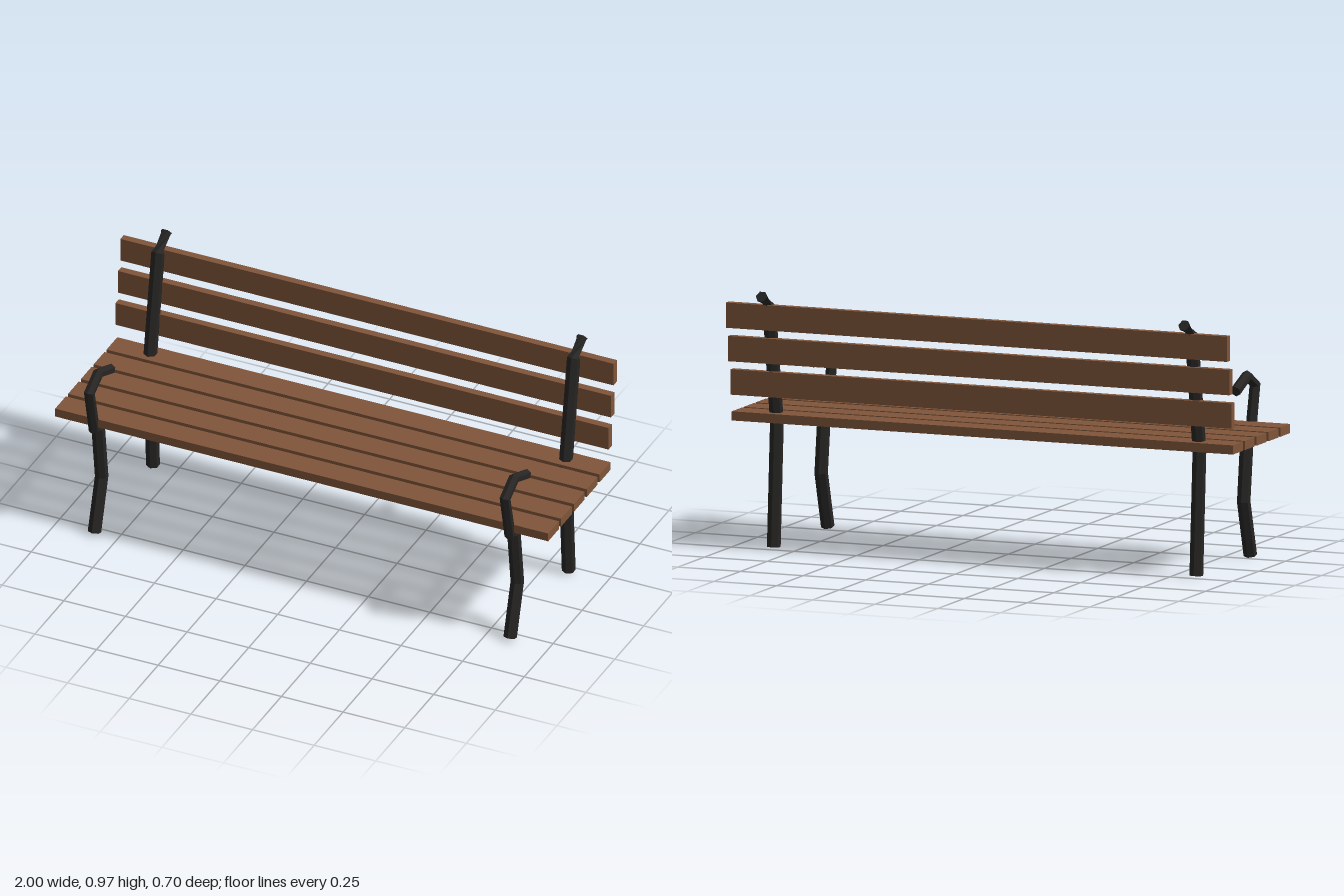
import * as THREE from 'three';

const iron = new THREE.MeshStandardMaterial({ color: 0x262524, flatShading: true });
const wood = new THREE.MeshStandardMaterial({ color: 0x80553a });

// Six-sided bar swept along [z, y] points; twist turns the last ring about the bar
function bar(name, points, radius, { endRadius = radius, twist = 0 } = {}) {
  const sides = 6;
  const pts = points.map(([z, y]) => new THREE.Vector3(0, y, z));
  const across = new THREE.Vector3(1, 0, 0);
  const pos = [];
  const index = [];
  pts.forEach((p, i) => {
    const last = i === pts.length - 1;
    const tangent = new THREE.Vector3();
    if (i > 0) tangent.add(p.clone().sub(pts[i - 1]).normalize());
    if (!last) tangent.add(pts[i + 1].clone().sub(p).normalize());
    tangent.normalize();
    const inPlane = new THREE.Vector3().crossVectors(tangent, across);
    const r = last ? endRadius : radius;
    for (let k = 0; k < sides; k++) {
      const a = (k / sides) * Math.PI * 2 + (last ? twist : 0);
      const v = p.clone()
        .addScaledVector(inPlane, r * Math.cos(a))
        .addScaledVector(across, -r * Math.sin(a));
      pos.push(v.x, v.y, v.z);
    }
    if (last) return;
    for (let k = 0; k < sides; k++) {
      const a = i * sides + k;
      const b = i * sides + (k + 1) % sides;
      index.push(a, b, b + sides, a, b + sides, a + sides);
    }
  });
  // End caps
  const top = (pts.length - 1) * sides;
  for (let k = 1; k < sides - 1; k++) {
    index.push(0, k + 1, k, top, top + k, top + k + 1);
  }
  const geo = new THREE.BufferGeometry();
  geo.setAttribute('position', new THREE.Float32BufferAttribute(pos, 3));
  geo.setIndex(index);
  geo.computeVertexNormals();
  const mesh = new THREE.Mesh(geo, iron);
  mesh.name = name;
  return mesh;
}

function slat(name, height, depth, y, z) {
  const mesh = new THREE.Mesh(new THREE.BoxGeometry(2, height, depth), wood);
  mesh.name = name;
  mesh.position.set(0, y, z);
  return mesh;
}

// One iron end frame
function endFrame(name, x) {
  const frame = new THREE.Group();
  frame.name = name;
  frame.position.x = x;
  frame.add(
    bar('backPost', [[-0.219, 0.01], [-0.19, 0.47], [-0.262, 0.908], [-0.335, 0.958]], 0.0255,
      { endRadius: 0.0225, twist: Math.PI / 2 }),
    bar('frontLeg', [[0.287, 0.011], [0.225, 0.219], [0.255, 0.449]], 0.025),
    bar('seatRail', [[0.256, 0.455], [-0.19, 0.482]], 0.021),
    bar('armrest', [[0.288, 0.454], [0.331, 0.64], [0.255, 0.683], [0.148, 0.64]], 0.0205)
  );
  return frame;
}

export function createModel() {
  const bench = new THREE.Group();
  bench.name = 'bench';
  bench.add(endFrame('leftFrame', 0.843), endFrame('rightFrame', -0.843));

  // Seat slats, front to back
  for (let i = 0; i < 5; i++) {
    bench.add(slat('seatSlat', 0.034, 0.093, 0.491, 0.246 - i * 0.111));
  }
  // Backrest slats, stepping back as they rise
  for (let i = 0; i < 3; i++) {
    bench.add(slat('backSlat', 0.094, 0.029, 0.619 + i * 0.1275, -0.243 - i * 0.0215));
  }
  return bench;
}
